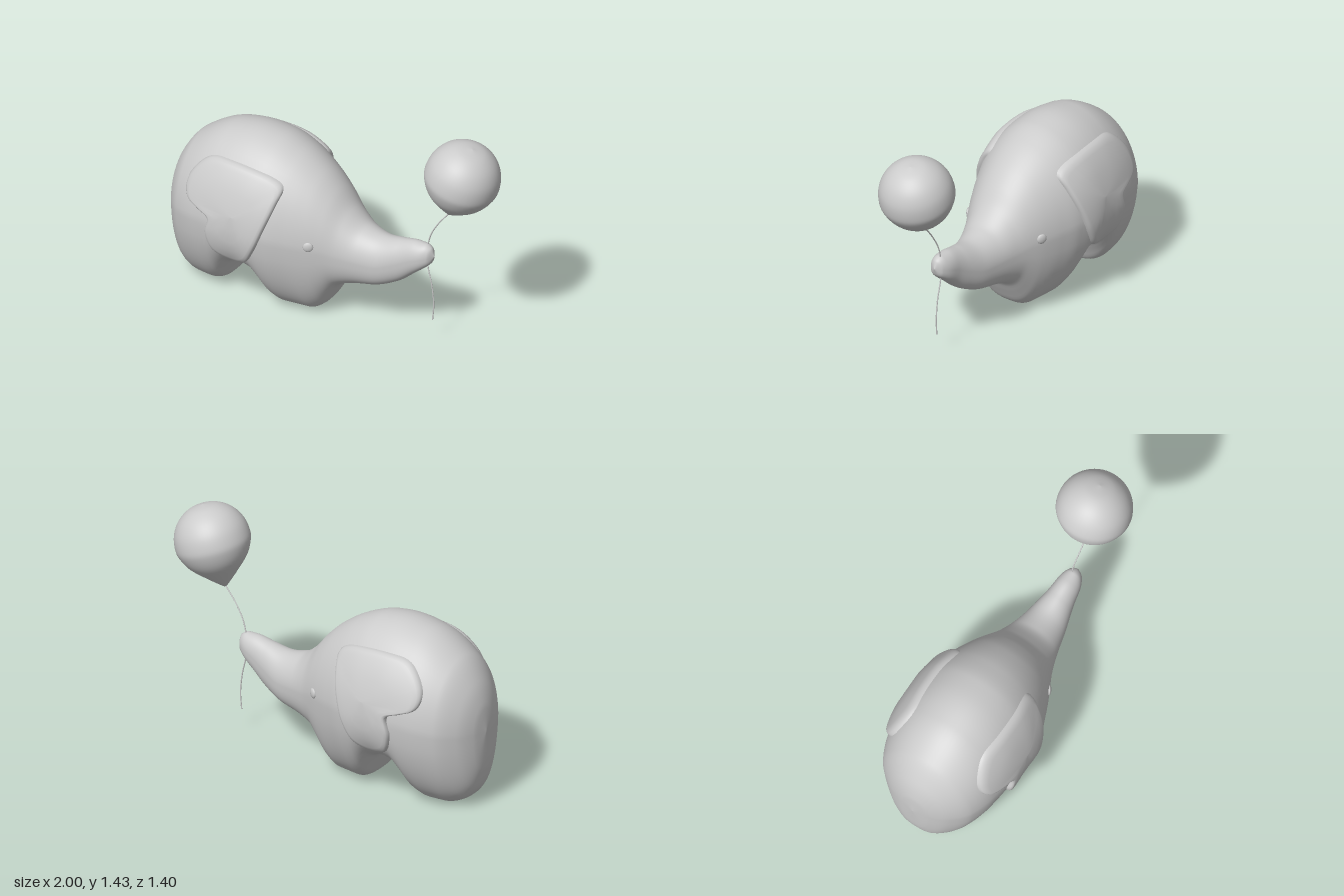
import * as THREE from 'three';

const material = new THREE.MeshStandardMaterial({ color: 0xcccccc, roughness: 0.8 });

// Monotone smooth interpolation through [position, value] pairs
function profile(points) {
  const n = points.length;
  const slope = (i) => (points[i + 1][1] - points[i][1]) / (points[i + 1][0] - points[i][0]);
  const tangent = points.map((_, i) => {
    if (i === 0) return slope(0);
    if (i === n - 1) return slope(n - 2);
    const a = slope(i - 1), b = slope(i);
    return a * b <= 0 ? 0 : (2 * a * b) / (a + b);
  });
  return (x) => {
    let i = 0;
    while (i < n - 2 && x > points[i + 1][0]) i++;
    const h = points[i + 1][0] - points[i][0];
    const t = THREE.MathUtils.clamp((x - points[i][0]) / h, 0, 1), s = 1 - t;
    return points[i][1] * (1 + 2 * t) * s * s + tangent[i] * h * t * s * s
      + points[i + 1][1] * t * t * (3 - 2 * t) - tangent[i + 1] * h * t * t * s;
  };
}

// Surface through closed rings; flip reverses the faces
function loft(rings, flip = false) {
  const n = rings[0].length, index = [];
  for (let i = 0; i < rings.length - 1; i++) {
    for (let j = 0; j < n; j++) {
      const a = i * n + j, b = i * n + (j + 1) % n, c = a + n, d = b + n;
      if (flip) index.push(a, b, c, b, d, c);
      else index.push(a, c, b, b, c, d);
    }
  }
  const geometry = new THREE.BufferGeometry().setFromPoints(rings.flat());
  geometry.setIndex(index);
  geometry.computeVertexNormals();
  return geometry;
}

function addMesh(parent, name, geometry) {
  const mesh = new THREE.Mesh(geometry, material);
  mesh.name = name;
  parent.add(mesh);
  return mesh;
}

// Body profiles along its length, from rump to trunk tip
const BACK = -0.52, TIP = 1.27;
const topLine = profile([
  [-0.52, 0.5], [-0.507, 0.66], [-0.45, 0.82], [-0.35, 0.95], [-0.12, 1.075], [0.06, 1.1], [0.2, 1.085],
  [0.35, 1.03], [0.5, 0.935], [0.6, 0.84], [0.69, 0.73], [0.8, 0.645], [0.92, 0.62], [1.04, 0.64],
  [1.15, 0.66], [1.21, 0.66], [1.25, 0.64], [1.27, 0.59]]);
const bottomLine = profile([
  [-0.52, 0.5], [-0.505, 0.25], [-0.46, 0.1], [-0.4, 0.035], [-0.3, 0], [-0.2, 0], [-0.13, 0.03],
  [-0.08, 0.12], [-0.03, 0.2], [0.07, 0.228], [0.16, 0.2], [0.205, 0.12], [0.25, 0.03], [0.31, 0],
  [0.46, 0], [0.53, 0.04], [0.59, 0.13], [0.65, 0.22], [0.76, 0.265], [0.9, 0.295], [1.04, 0.36],
  [1.15, 0.45], [1.21, 0.5], [1.25, 0.54], [1.27, 0.59]]);
const middleLine = profile([
  [-0.52, 0.5], [0, 0.55], [0.6, 0.5], [0.7, 0.475], [0.9, 0.455], [1.04, 0.5], [1.15, 0.555], [1.27, 0.59]]);
const halfWidth = profile([
  [-0.52, 0], [-0.505, 0.1], [-0.45, 0.22], [-0.35, 0.32], [-0.2, 0.375], [0, 0.4], [0.15, 0.4], [0.3, 0.375],
  [0.42, 0.33], [0.52, 0.285], [0.69, 0.2], [0.82, 0.155], [0.94, 0.125], [1.1, 0.085], [1.18, 0.072],
  [1.24, 0.045], [1.27, 0]]);

// Legs draw in towards the ground
const taper = (depth) => 1 - 0.3 * Math.pow(Math.max(depth, 0) / 0.55, 1.3);
const POWER = 2.8;

function bodyPoint(u, angle) {
  const c = Math.cos(angle), s = Math.sin(angle), mid = middleLine(u), w = halfWidth(u);
  if (s >= 0) return new THREE.Vector3(u, mid + (topLine(u) - mid) * s, w * c);
  const drop = (mid - bottomLine(u)) * Math.pow(-s, 2 / POWER);
  return new THREE.Vector3(u, mid - drop, w * Math.sign(c) * Math.pow(Math.abs(c), 2 / POWER) * taper(drop));
}

// Distance from the centre plane to the skin at a given length and height
function skin(u, y) {
  const mid = middleLine(u), w = halfWidth(u);
  if (y >= mid) {
    const r = Math.min(1, (y - mid) / (topLine(u) - mid));
    return w * Math.sqrt(1 - r * r);
  }
  const r = Math.min(1, (mid - y) / (mid - bottomLine(u)));
  return w * Math.pow(1 - Math.pow(r, POWER), 1 / POWER) * taper(mid - y);
}

function bodyGeometry() {
  const rings = [], stations = 170, sides = 64;
  for (let i = 0; i <= stations; i++) {
    const t = i / stations;
    const eased = 0.3 * t + 0.7 * (1 - Math.cos(Math.PI * t)) / 2;
    const u = BACK + (TIP - BACK) * eased;
    rings.push(Array.from({ length: sides }, (_, j) => bodyPoint(u, (j / sides) * Math.PI * 2)));
  }
  return loft(rings);
}

// Ear flap: outline shrunk to its centre in rings that lie over the skin
const earOutline = new THREE.CatmullRomCurve3([
  [-0.27, 0.75], [-0.255, 0.83], [-0.15, 0.945], [0.01, 0.97], [0.277, 0.94], [0.362, 0.89], [0.35, 0.8],
  [0.305, 0.65], [0.24, 0.48], [0.165, 0.365], [0.07, 0.33], [-0.045, 0.375], [-0.09, 0.5], [-0.075, 0.62],
  [-0.165, 0.66], [-0.245, 0.695]].map(([u, y]) => new THREE.Vector3(u, y, 0)), true);

function earGeometry(side) {
  const centre = new THREE.Vector3(0.1, 0.68, 0);
  const outline = earOutline.getPoints(96).slice(0, -1);
  const rings = [[1, -0.03], [1, 0.008], [0.985, 0.02], [0.95, 0.028], [0.88, 0.03], [0.7, 0.028],
    [0.5, 0.026], [0.25, 0.026], [0, 0.026]];
  return loft(rings.map(([scale, lift]) => outline.map((p) => {
    const q = centre.clone().lerp(p, scale);
    q.z = side * (skin(q.x, q.y) + lift);
    return q;
  })), side < 0);
}

export function createModel() {
  const model = new THREE.Group();
  model.name = 'elephantWithBalloon';

  // Elephant, turned towards the front
  const elephant = new THREE.Group();
  elephant.name = 'elephant';
  elephant.position.set(-0.5, 0, -0.24);
  elephant.rotation.y = -Math.PI / 6;
  model.add(elephant);
  addMesh(elephant, 'body', bodyGeometry());
  for (const side of [1, -1]) {
    const label = side > 0 ? 'right' : 'left';
    addMesh(elephant, label + 'Ear', earGeometry(side));
    const eye = addMesh(elephant, label + 'Eye', new THREE.SphereGeometry(0.032, 12, 8));
    eye.scale.z = 0.4;
    eye.position.set(0.55, 0.55, side * skin(0.55, 0.55));
    eye.rotation.y = side * 0.5;
  }

  // Balloon, pinched to a point at the string
  const outline = new THREE.SplineCurve([
    [0.004, -0.295], [0.02, -0.285], [0.1, -0.212], [0.18, -0.13], [0.222, -0.05], [0.23, 0.01],
    [0.213, 0.09], [0.165, 0.163], [0.09, 0.213], [0, 0.23]].map(([x, y]) => new THREE.Vector2(x, y)));
  const profilePoints = outline.getPoints(40);
  profilePoints.forEach((p) => { p.x = Math.max(p.x, 0); });
  const balloon = addMesh(model, 'balloon', new THREE.LatheGeometry(profilePoints, 48));
  balloon.position.set(0.77, 1.2, 0.48);
  balloon.quaternion.setFromUnitVectors(
    new THREE.Vector3(0, 1, 0), new THREE.Vector3(0.08, 0.28, 0.04).normalize());

  // String, held by the trunk tip
  const path = new THREE.CatmullRomCurve3([
    [0.69, 0.925, 0.44], [0.62, 0.82, 0.4], [0.575, 0.72, 0.37], [0.557, 0.62, 0.358], [0.56, 0.5, 0.36],
    [0.583, 0.38, 0.375], [0.595, 0.25, 0.382], [0.588, 0.14, 0.38]].map((p) => new THREE.Vector3(...p)));
  addMesh(model, 'string', new THREE.TubeGeometry(path, 48, 0.004, 8));

  return model;
}
